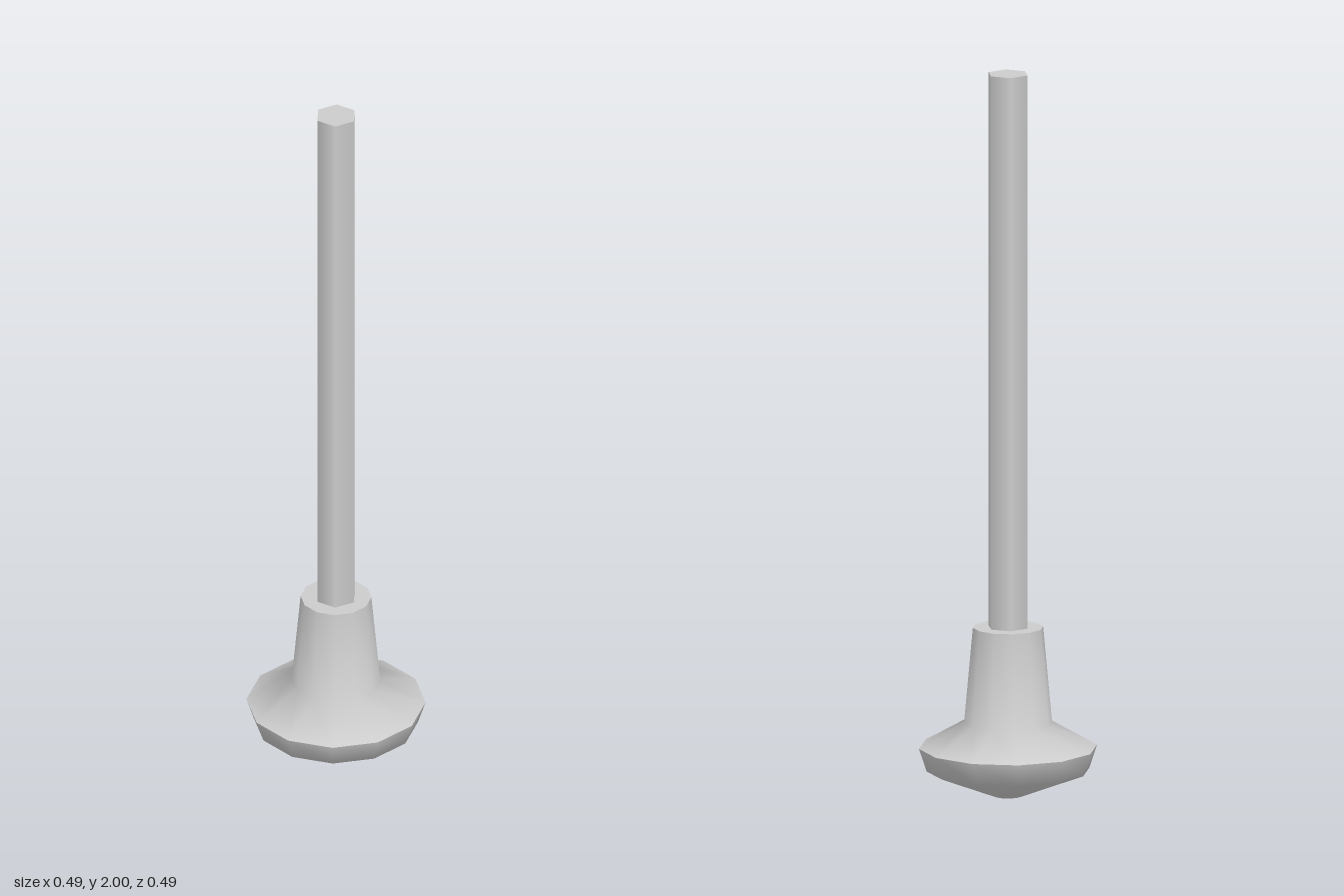
import * as THREE from 'three';

const material = new THREE.MeshStandardMaterial({ color: 0xcccccc });

// Twelve-sided turned surface, profile listed from bottom to top
function turned(name, profile) {
  const points = profile.map(([r, y]) => new THREE.Vector2(r, y));
  const mesh = new THREE.Mesh(new THREE.LatheGeometry(points, 12), material);
  mesh.name = name;
  return mesh;
}

export function createModel() {
  const model = new THREE.Group();
  model.name = 'knobWithRod';

  // Knob, in smooth bands that meet at sharp rims
  const knob = new THREE.Group();
  knob.name = 'knob';
  knob.add(
    turned('knobUnderside', [[0, 0], [0.04, 0], [0.222, 0.072], [0.243, 0.135]]),
    turned('knobNeck', [[0.243, 0.135], [0.12, 0.205], [0.096, 0.467]]),
    turned('knobTop', [[0.096, 0.467], [0, 0.467]]),
  );

  // Hexagonal rod rising from the knob
  const bottom = 0.44, top = 2;
  const rod = new THREE.Mesh(new THREE.CylinderGeometry(0.057, 0.057, top - bottom, 6), material);
  rod.name = 'rod';
  rod.position.y = (bottom + top) / 2;

  model.add(knob, rod);
  return model;
}
